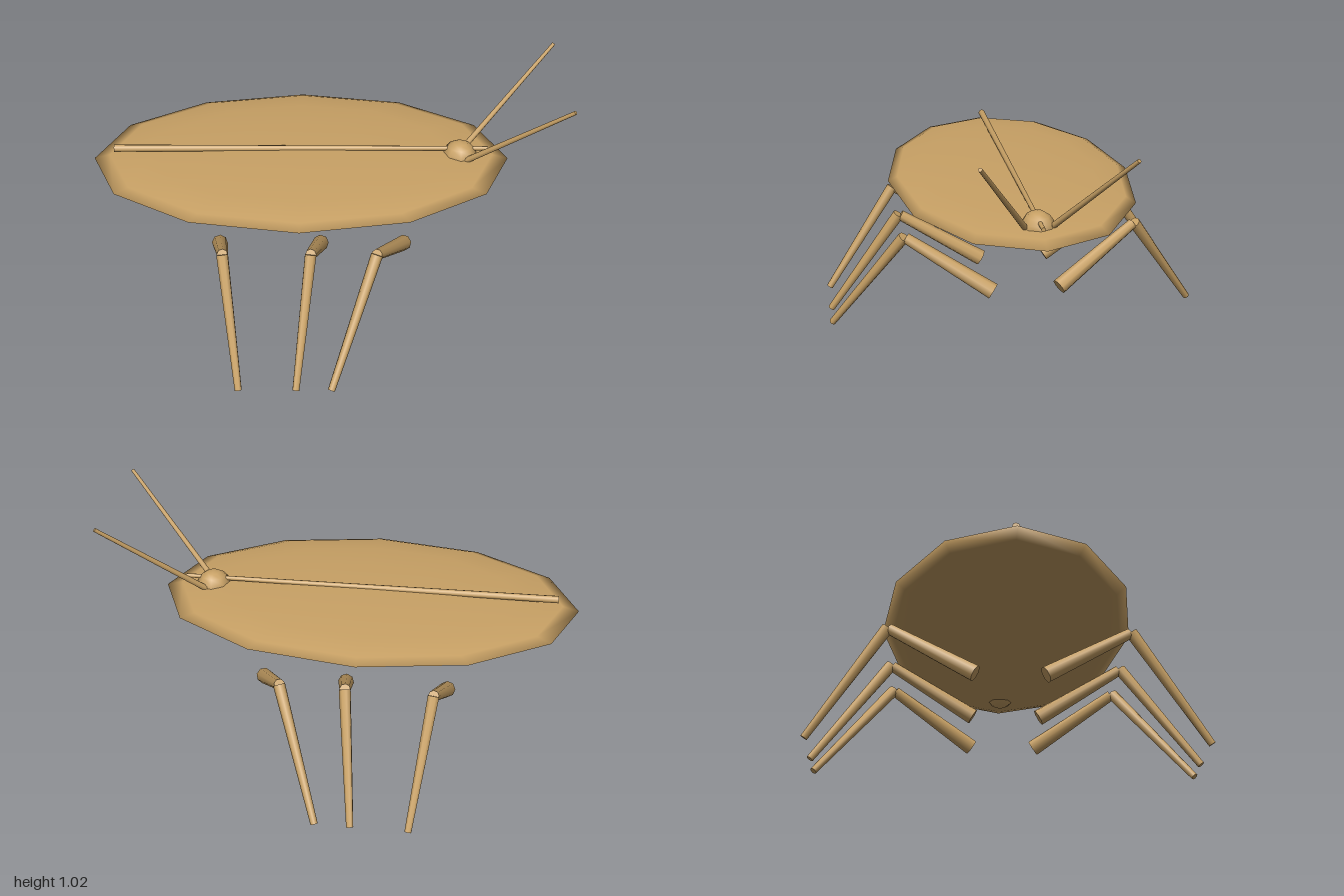
import * as THREE from 'three';

export function createModel() {
  const model = new THREE.Group();
  model.name = 'insect';
  const tan = new THREE.MeshStandardMaterial({ color: 0xc8a165 });
  tan.name = 'tan shell';

  const ellipsoid = (name, pos, scale, sides, rings) => {
    const m = new THREE.Mesh(new THREE.SphereGeometry(1, sides, rings), tan);
    m.name = name;
    m.position.set(...pos);
    m.scale.set(...scale);
    model.add(m);
  };

  // Tapered rod between two points
  const rod = (name, from, to, r0, r1, parent = model, sides = 8) => {
    const a = new THREE.Vector3(...from), b = new THREE.Vector3(...to);
    const dir = b.clone().sub(a);
    const m = new THREE.Mesh(new THREE.CylinderGeometry(r1, r0, dir.length(), sides), tan);
    m.name = name;
    m.position.copy(a).add(b).multiplyScalar(0.5);
    m.quaternion.setFromUnitVectors(new THREE.Vector3(0, 1, 0), dir.normalize());
    parent.add(m);
  };

  // Flat oval shell, head and the ridge along the back
  ellipsoid('body', [-0.105, 0.605, 0], [0.895, 0.05, 0.533], 12, 8);
  ellipsoid('head', [0.58, 0.62, 0], [0.075, 0.07, 0.07], 8, 8);
  rod('backRidge', [-0.91, 0.657, 0], [0.7, 0.657, 0], 0.016, 0.009);

  // Knee, hip and foot x for each pair of legs
  const legs = [
    ['rearLeg', -0.42, -0.465, -0.355],
    ['middleLeg', -0.06, -0.02, -0.12],
    ['frontLeg', 0.21, 0.345, 0.025],
  ];
  for (const [side, s] of [['left', -1], ['right', 1]]) {
    rod(side + 'Antenna', [0.6, 0.625, s * 0.05], [0.99, 1.013, s * 0.283], 0.013, 0.008);
    for (const [name, knee, hip, foot] of legs) {
      const leg = new THREE.Group();
      leg.name = side + name[0].toUpperCase() + name.slice(1);
      rod('upperLeg', [hip, 0.25, s * 0.14], [knee, 0.46, s * 0.487], 0.035, 0.023, leg);
      rod('lowerLeg', [knee, 0.465, s * 0.495], [foot, 0.01, s * 0.807], 0.025, 0.015, leg);
      model.add(leg);
    }
  }
  return model;
}
